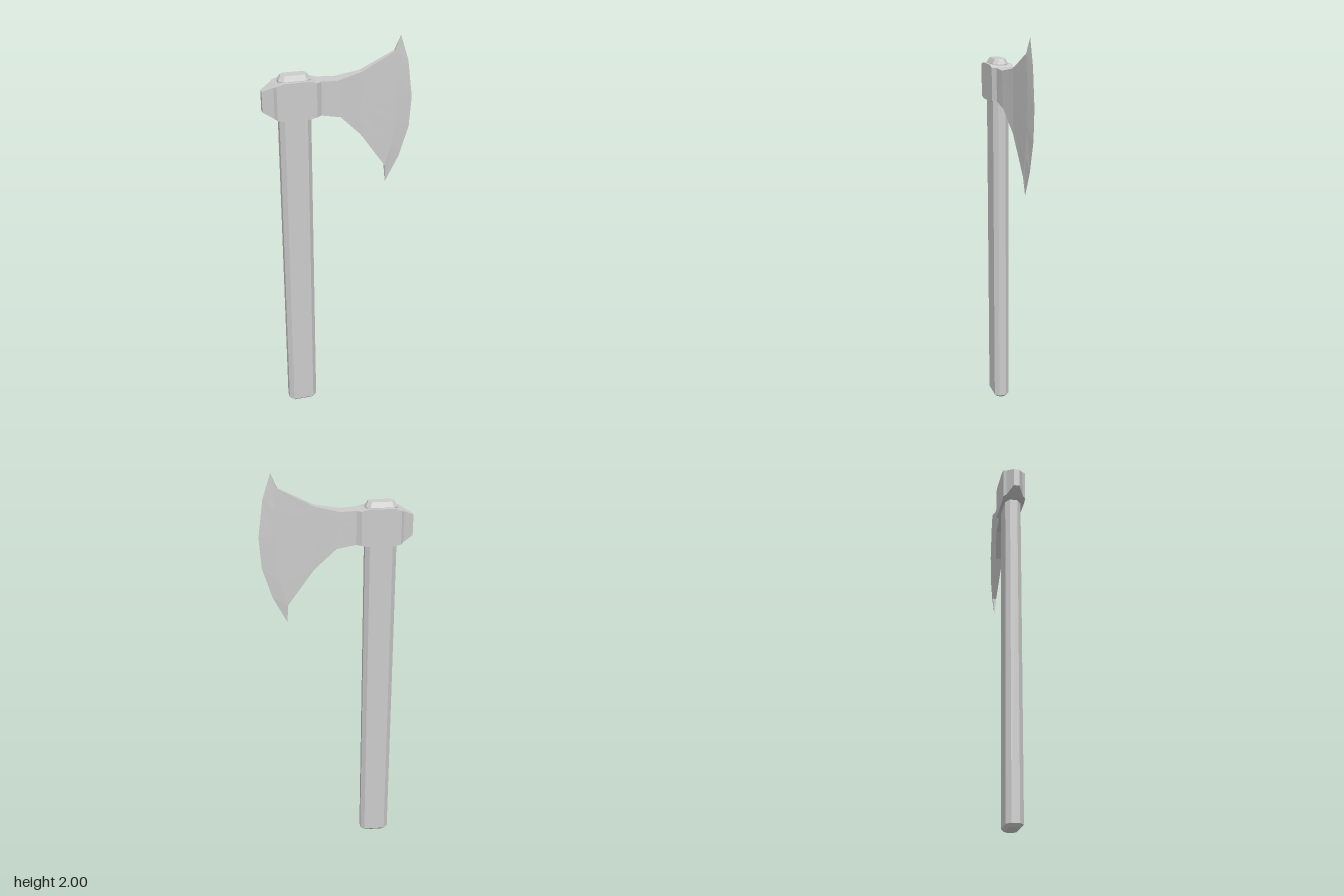
import * as THREE from 'three';

const material = new THREE.MeshStandardMaterial({ color: 0xcccccc, flatShading: true });

// Skin a closed solid through rings that run counter-clockwise about the loft direction.
function loft(name, rings) {
  const pos = [];
  const tri = (a, b, c) => pos.push(...a, ...b, ...c);
  const n = rings[0].length;
  for (let i = 0; i < rings.length - 1; i++) {
    for (let j = 0; j < n; j++) {
      const k = (j + 1) % n;
      const [a, b, c, d] = [rings[i][j], rings[i][k], rings[i + 1][k], rings[i + 1][j]];
      tri(a, b, c);
      tri(a, c, d);
    }
  }
  const first = rings[0], last = rings[rings.length - 1];
  for (let j = 1; j < n - 1; j++) {
    tri(first[0], first[j + 1], first[j]);
    tri(last[0], last[j], last[j + 1]);
  }
  const geometry = new THREE.BufferGeometry();
  geometry.setAttribute('position', new THREE.Float32BufferAttribute(pos, 3));
  geometry.computeVertexNormals();
  const mesh = new THREE.Mesh(geometry, material);
  mesh.name = name;
  return mesh;
}

// Horizontal rectangle with cut corners, for the handle.
function handleRing(y, inset) {
  const cx = -0.211, w = 0.075 - inset, d = 0.04 - inset, c = 0.021 - inset * 0.4;
  return [
    [w - c, d], [w, d - c], [w, c - d], [w - c, -d],
    [c - w, -d], [-w, c - d], [-w, d - c], [c - w, d],
  ].map(([x, z]) => [cx + x, y, z]);
}

// Front points from top to bottom, then the same points mirrored to the back.
function mirroredRing(points, z) {
  return [
    ...points.map(([x, y]) => [x, y, z]),
    ...points.slice().reverse().map(([x, y]) => [x, y, -z]),
  ];
}

// Six evenly spaced points between an upper and a lower outline point.
function column([x0, y0], [x1, y1]) {
  return Array.from({ length: 6 }, (_, i) => [x0 + (x1 - x0) * i / 5, y0 + (y1 - y0) * i / 5]);
}

export function createModel() {
  const group = new THREE.Group();
  group.name = 'axe';

  // Handle with bevelled ends
  group.add(loft('handle', [
    handleRing(0, 0.012), handleRing(0.014, 0),
    handleRing(1.838, 0), handleRing(1.862, 0.013),
  ]));

  // Socket around the handle, tapering to the poll: x, top, bottom, half thickness
  group.add(loft('headSocket', [
    [-0.362, 1.795, 1.697, 0.015],
    [-0.313, 1.819, 1.671, 0.042],
    [-0.301, 1.825, 1.665, 0.057],
    [-0.268, 1.836, 1.657, 0.057],
    [-0.151, 1.836, 1.657, 0.057],
    [-0.116, 1.826, 1.664, 0.057],
    [-0.092, 1.826, 1.664, 0.039],
  ].map(([x, top, bottom, z]) => mirroredRing([[x, top], [x, bottom]], z))));

  // Flared blade, thinning to a sharp curved edge
  const bevel = [[0.267, 1.929], [0.282, 1.83], [0.29, 1.71], [0.285, 1.6], [0.265, 1.47], [0.232, 1.36]];
  const edge = [[0.296, 2], [0.336, 1.88], [0.361, 1.7], [0.352, 1.55], [0.306, 1.4], [0.238, 1.268]];
  group.add(loft('blade', [
    mirroredRing(column([-0.092, 1.826], [-0.092, 1.664]), 0.039),
    mirroredRing(column([-0.015, 1.822], [0, 1.645]), 0.035),
    mirroredRing(column([0.105, 1.847], [0.105, 1.54]), 0.018),
    mirroredRing(bevel, 0.009),
    mirroredRing(edge, 0),
  ]));

  return group;
}
